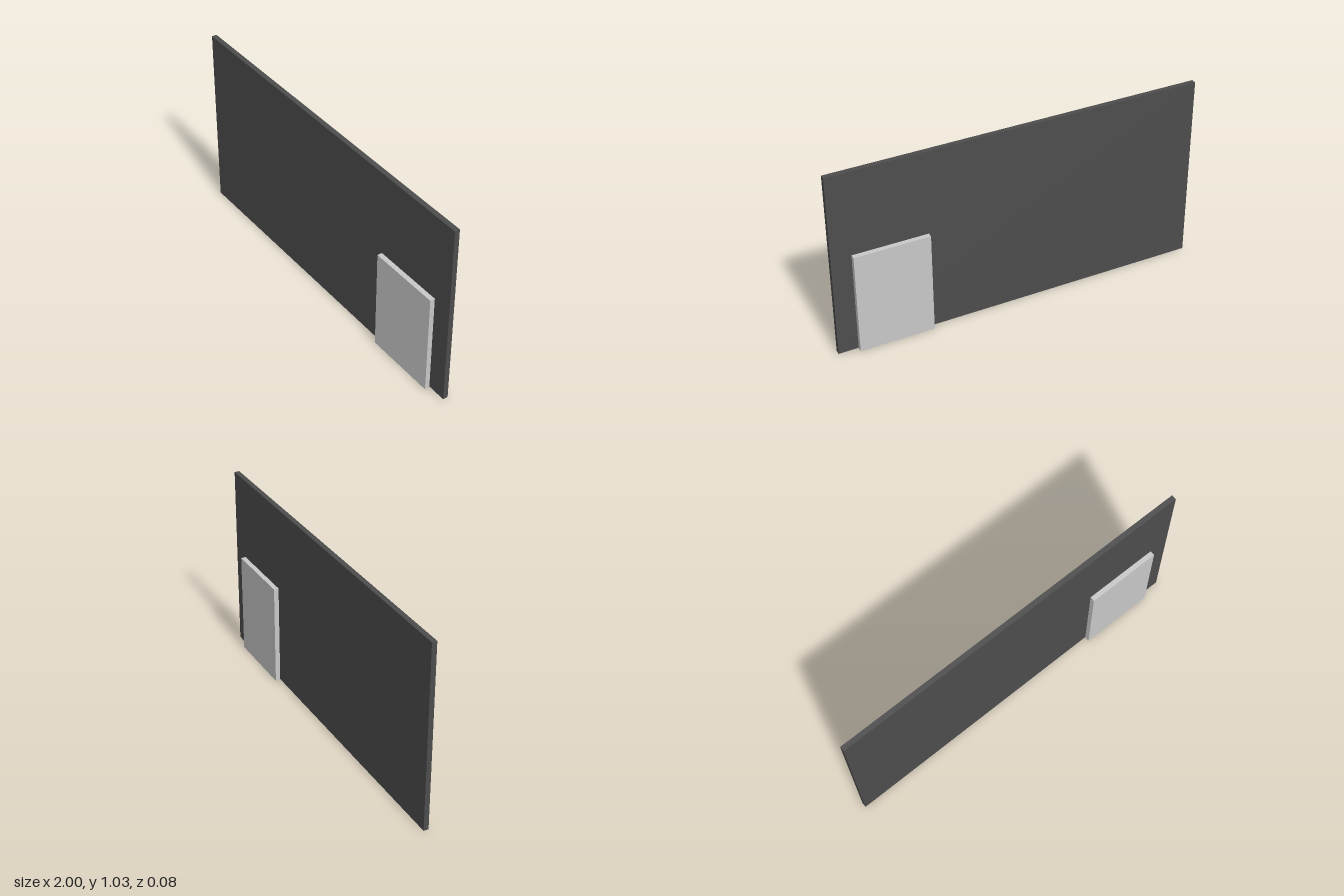
import * as THREE from 'three';

const wallGrey = new THREE.MeshStandardMaterial({ name: 'dark grey wall', color: 0x4d4d4d });
const doorGrey = new THREE.MeshStandardMaterial({ name: 'light grey door', color: 0xc8c8c8 });

// Box given by its limits in x and y, and centred on z = 0
function slab(name, material, x0, x1, y0, y1, depth) {
  const mesh = new THREE.Mesh(new THREE.BoxGeometry(x1 - x0, y1 - y0, depth), material);
  mesh.position.set((x0 + x1) / 2, (y0 + y1) / 2, 0);
  mesh.name = name;
  return mesh;
}

export function createModel() {
  const model = new THREE.Group();
  model.name = 'wallWithDoor';
  // Thin wall panel, just clear of the ground
  model.add(slab('wall', wallGrey, -1, 1, 0.004, 1.03, 0.027));
  // Thicker door standing proud on both sides of the wall
  model.add(slab('door', doorGrey, 0.492, 0.894, 0, 0.567, 0.08));
  return model;
}
